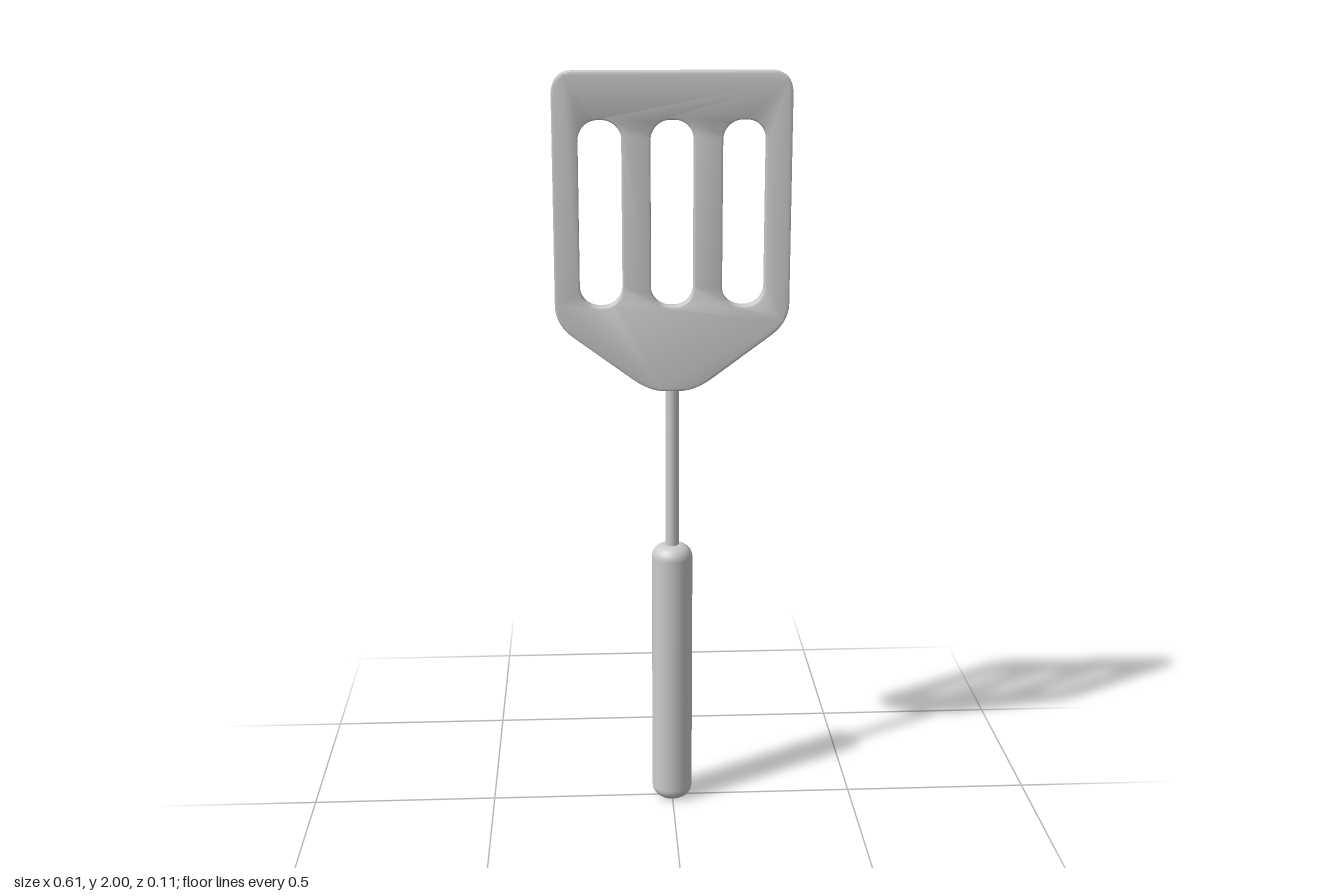
import * as THREE from 'three';
import { toCreasedNormals } from 'three/addons/utils/BufferGeometryUtils.js';

const material = new THREE.MeshStandardMaterial({ color: 0xcccccc });

function addPart(group, name, geometry) {
  const mesh = new THREE.Mesh(geometry, material);
  mesh.name = name;
  group.add(mesh);
  return mesh;
}

// Rounded slot outline centred on x
function slotPath(x, bottom, top, halfWidth, r) {
  const p = new THREE.Path();
  const l = x - halfWidth, e = x + halfWidth;
  p.moveTo(l, bottom + r);
  p.lineTo(l, top - r);
  p.absarc(l + r, top - r, r, Math.PI, Math.PI / 2, true);
  p.lineTo(e - r, top);
  p.absarc(e - r, top - r, r, Math.PI / 2, 0, true);
  p.lineTo(e, bottom + r);
  p.absarc(e - r, bottom + r, r, 0, -Math.PI / 2, true);
  p.lineTo(l + r, bottom);
  p.absarc(l + r, bottom + r, r, -Math.PI / 2, -Math.PI, true);
  return p;
}

// Flat head with rounded shoulders, tapering to the rod
function bladeGeometry() {
  const w = 0.303, bevel = 0.006, depth = 0.044;
  const s = new THREE.Shape();
  s.moveTo(0, 1.18);
  s.lineTo(0.025, 1.18);
  s.quadraticCurveTo(0.06, 1.182, 0.1, 1.21);
  s.lineTo(0.25, 1.321);
  s.quadraticCurveTo(w, 1.358, w, 1.41);
  s.lineTo(w, 1.94);
  s.quadraticCurveTo(w, 2, 0.25, 2);
  s.lineTo(-0.25, 2);
  s.quadraticCurveTo(-w, 2, -w, 1.94);
  s.lineTo(-w, 1.41);
  s.quadraticCurveTo(-w, 1.358, -0.25, 1.321);
  s.lineTo(-0.1, 1.21);
  s.quadraticCurveTo(-0.06, 1.182, -0.025, 1.18);
  s.closePath();
  for (const x of [-0.183, 0, 0.183]) s.holes.push(slotPath(x, 1.405, 1.88, 0.055, 0.05));
  const geo = new THREE.ExtrudeGeometry(s, {
    depth: depth - 2 * bevel, curveSegments: 8,
    bevelEnabled: true, bevelSize: bevel, bevelThickness: bevel, bevelOffset: -bevel, bevelSegments: 2,
  });
  geo.translate(0, 0, -depth / 2 + bevel - 0.001);
  return toCreasedNormals(geo, 0.7);
}

// Round grip with softened ends
function handleGeometry() {
  const r = 0.055, c = 0.035, top = 0.75, pts = [new THREE.Vector2(0, 0)];
  for (let i = 0; i <= 6; i++) {
    const a = (i / 6) * Math.PI / 2;
    pts.push(new THREE.Vector2(r - c + c * Math.sin(a), c - c * Math.cos(a)));
  }
  for (let i = 0; i <= 6; i++) {
    const a = (i / 6) * Math.PI / 2;
    pts.push(new THREE.Vector2(r - c + c * Math.cos(a), top - c + c * Math.sin(a)));
  }
  pts.push(new THREE.Vector2(0, top));
  return new THREE.LatheGeometry(pts, 32);
}

export function createModel() {
  const group = new THREE.Group();
  group.name = 'slottedTurner';
  addPart(group, 'blade', bladeGeometry());
  addPart(group, 'rod', new THREE.CylinderGeometry(0.018, 0.018, 0.55, 20)).position.y = 0.975;
  addPart(group, 'handle', handleGeometry());
  return group;
}
